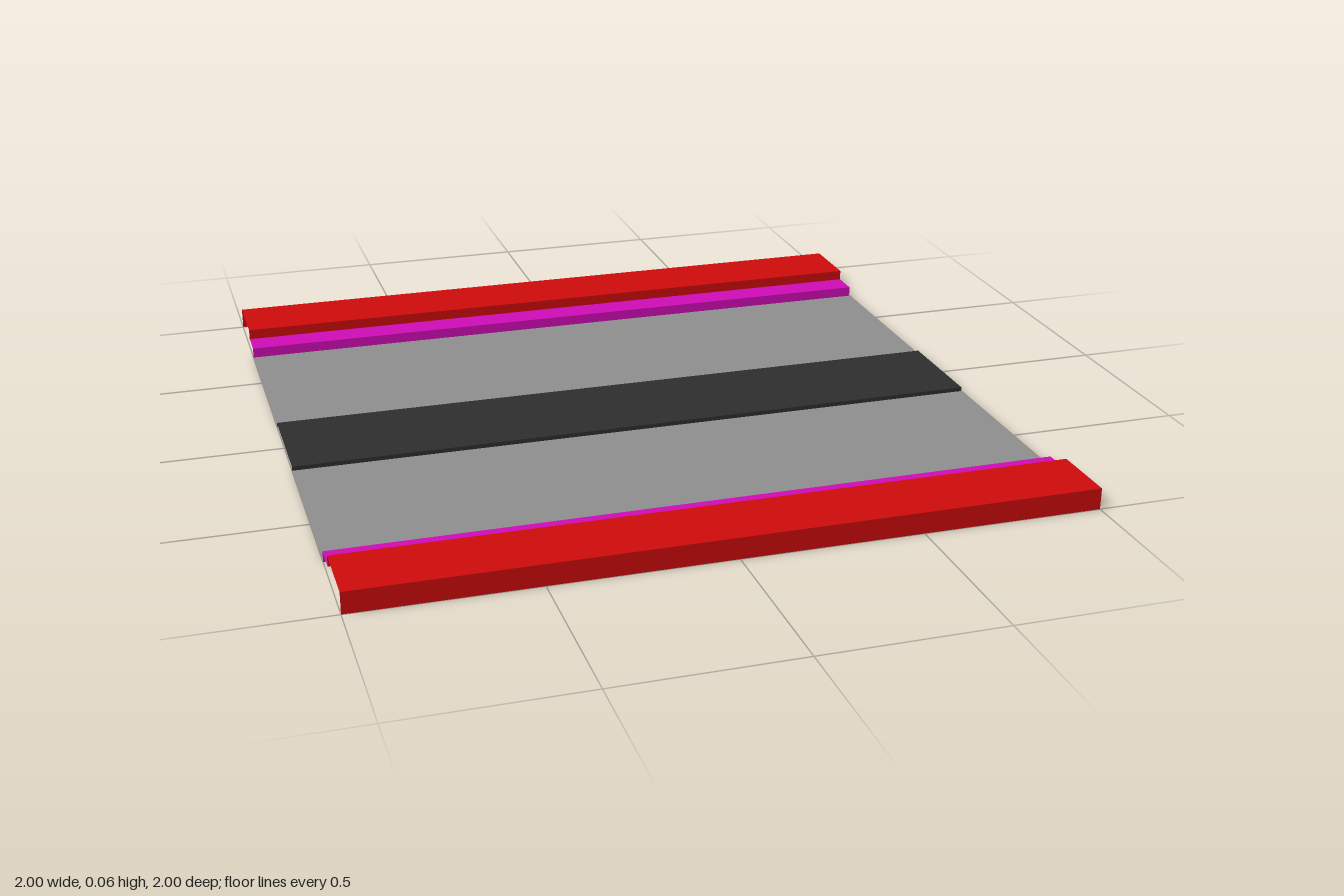
import * as THREE from 'three';

const paint = (name, color) =>
  new THREE.MeshStandardMaterial({ name, color, side: THREE.DoubleSide });

// Open folded sheet: a (z, y) section swept along x, one flat face per segment.
function foldedSheet(name, section, material) {
  const pos = [];
  for (let i = 0; i < section.length - 1; i++) {
    const [z0, y0] = section[i];
    const [z1, y1] = section[i + 1];
    // section runs from front to back, so faces point up and out
    pos.push(-1, y0, z0, 1, y0, z0, 1, y1, z1);
    pos.push(-1, y0, z0, 1, y1, z1, -1, y1, z1);
  }
  const geo = new THREE.BufferGeometry();
  geo.setAttribute('position', new THREE.Float32BufferAttribute(pos, 3));
  geo.computeVertexNormals();
  const mesh = new THREE.Mesh(geo, material);
  mesh.name = name;
  return mesh;
}

export function createModel() {
  const red = paint('red', 0xd00c0c);
  const magenta = paint('magenta', 0xd00cb8);
  const grey = paint('grey', 0x909090);
  const black = paint('black', 0x2e2e2e);

  const outer = 1, step = 0.805, inner = 0.72, mid = 0.157;
  const high = 0.06, low = 0.03, strip = 0.012;

  const group = new THREE.Group();
  group.name = 'roadSection';

  // Each side: raised pavement, kerb step and lane
  for (const [side, turn] of [['front', 0], ['back', Math.PI]]) {
    const half = new THREE.Group();
    half.name = side + 'Half';
    half.rotation.y = turn;
    half.add(
      foldedSheet('pavement', [[outer, 0], [outer, high], [step, high], [step, low]], red),
      foldedSheet('kerb', [[step, low], [inner, low], [inner, 0]], magenta),
      foldedSheet('lane', [[inner, 0], [mid, 0]], grey)
    );
    group.add(half);
  }

  // Slightly raised central strip
  group.add(foldedSheet('centralStrip', [[mid, 0], [mid, strip], [-mid, strip], [-mid, 0]], black));
  return group;
}
